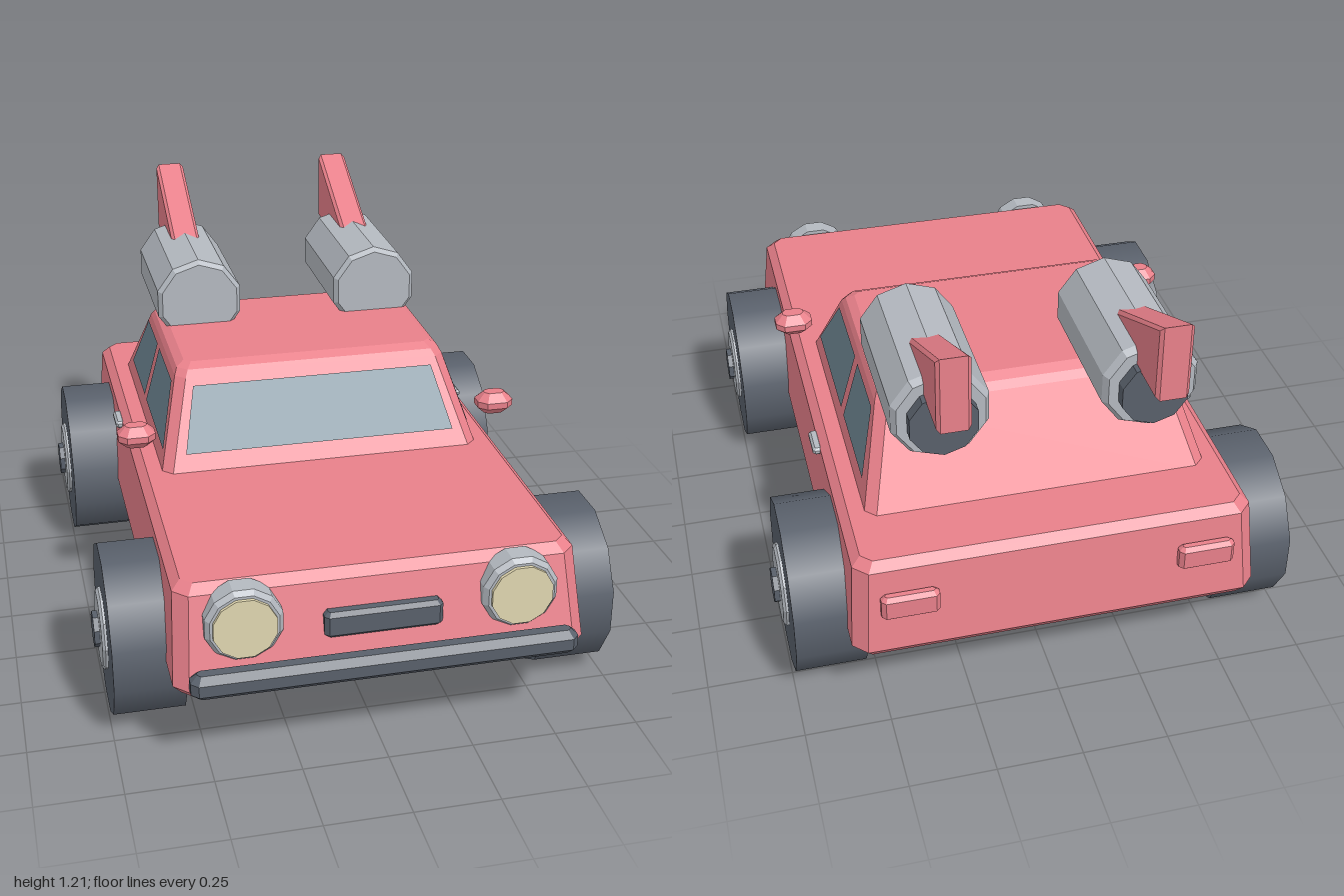
import * as THREE from 'three';

const mat = (color, opts = {}) => new THREE.MeshStandardMaterial({ color, flatShading: true, ...opts });
const RED = mat(0xe8808a), DARK = mat(0x59606b), TIRE = mat(0x59606b, { flatShading: false });
const STEEL = mat(0xb4b9c0), LAMP = mat(0xe0d6b0);
const GLASS = mat(0x6f8794, { side: THREE.DoubleSide });

// Stack of chamfered rectangles; level = [y, half width, back z, front z, corner cut]
function loft(levels) {
  const pos = [], idx = [], top = (levels.length - 1) * 8;
  for (const [y, x, b, f, c] of levels) {
    for (const [px, pz] of [[x - c, f], [x, f - c], [x, b + c], [x - c, b],
      [c - x, b], [-x, b + c], [-x, f - c], [c - x, f]]) pos.push(px, y, pz);
  }
  for (let i = 0; i < top; i += 8) {
    for (let j = 0; j < 8; j++) {
      const a = i + j, b = i + (j + 1) % 8;
      idx.push(a, b, a + 8, b, b + 8, a + 8);
    }
  }
  for (let j = 1; j < 7; j++) idx.push(top, top + j, top + j + 1, 0, j + 1, j);
  const g = new THREE.BufferGeometry();
  g.setAttribute('position', new THREE.Float32BufferAttribute(pos, 3));
  g.setIndex(idx);
  g.computeVertexNormals();
  return g;
}

// Box with all edges chamfered by b
function block(w, h, d, b) {
  const x = w / 2, y = h / 2, z = d / 2;
  return loft([[-y, x - b, b - z, z - b, b / 2], [b - y, x, -z, z, b],
    [y - b, x, -z, z, b], [y, x - b, b - z, z - b, b / 2]]);
}

// Faceted solid of revolution about y from [radius, height] pairs, flat side forward if turned
function turned(profile, sides, turn = 0) {
  return new THREE.LatheGeometry(profile.map(p => new THREE.Vector2(...p)), sides).rotateY(turn);
}

function panel(corners) {
  const g = new THREE.BufferGeometry();
  g.setAttribute('position', new THREE.Float32BufferAttribute(corners.flat(), 3));
  g.setIndex([0, 1, 2, 0, 2, 3]);
  g.computeVertexNormals();
  return g;
}

export function createModel() {
  const car = new THREE.Group();
  car.name = 'rocketCar';
  const add = (name, geo, material, x = 0, y = 0, z = 0, parent = car) => {
    const m = new THREE.Mesh(geo, material);
    m.name = name;
    m.position.set(x, y, z);
    parent.add(m);
    return m;
  };

  // Body and cabin
  add('body', loft([
    [0.24, 0.57, -0.97, 0.93, 0.03], [0.27, 0.595, -0.992, 0.952, 0.04],
    [0.525, 0.578, -0.955, 0.875, 0.04], [0.55, 0.552, -0.93, 0.845, 0.03]]), RED);
  add('cabin', loft([
    [0.54, 0.508, -0.755, 0.19, 0.03], [0.80, 0.435, -0.58, 0.03, 0.03],
    [0.82, 0.425, -0.56, 0.01, 0.03], [0.835, 0.40, -0.53, -0.02, 0.02]]), RED);

  // Windows lie just outside the cabin walls
  add('windshield', panel([[-0.43, 0.6, 0.16], [0.43, 0.6, 0.16], [0.385, 0.78, 0.048], [-0.385, 0.78, 0.048]]), GLASS);
  const sideX = y => 0.495 - (y - 0.6) * 0.281;
  const sideWindows = {
    frontSideWindow: [0.11, -0.285, -0.285, -0.01],
    rearSideWindow: [-0.325, -0.635, -0.545, -0.325],
  };

  // Front and rear trim
  add('bumper', block(1.11, 0.075, 0.07, 0.02), DARK, 0, 0.298, 0.965);
  add('grille', block(0.34, 0.08, 0.06, 0.012), DARK, 0, 0.41, 0.902);

  // Fin outline in (-z, y)
  const finShape = new THREE.Shape([[0.61, 1.03], [0.61, 0.985], [0.955, 0.985], [0.955, 1.195]]
    .map(p => new THREE.Vector2(...p)));
  const finGeo = new THREE.ExtrudeGeometry(finShape, {
    depth: 0.075, bevelEnabled: true, bevelSize: 0.01, bevelThickness: 0.01, bevelSegments: 1 });
  finGeo.translate(0, 0, -0.0375).rotateY(Math.PI / 2);

  for (const s of [1, -1]) {
    const side = s > 0 ? 'left' : 'right';

    for (const [name, [z0, z1, z2, z3]] of Object.entries(sideWindows)) {
      const lo = s * sideX(0.6), hi = s * sideX(0.78);
      const corners = [[lo, 0.6, z0], [lo, 0.6, z1], [hi, 0.78, z2], [hi, 0.78, z3]];
      add(`${side} ${name}`, panel(s > 0 ? corners : corners.reverse()), GLASS);
    }

    add(`${side} mirror`, block(0.115, 0.07, 0.09, 0.025), RED, s * 0.577, 0.665, 0.12);
    add(`${side} doorHandle`, block(0.03, 0.024, 0.1, 0.007), STEEL, s * 0.585, 0.516, -0.33);
    add(`${side} tailLight`, block(0.165, 0.08, 0.04, 0.012), RED, s * 0.43, 0.42, -0.98);

    // Headlight: steel rim with a lens
    const rim = turned([[0, -0.04], [0.113, -0.04], [0.113, 0.02], [0.1, 0.035], [0, 0.035]], 12, Math.PI / 12);
    add(`${side} headlightRim`, rim.rotateX(Math.PI / 2), STEEL, s * 0.395, 0.445, 0.9);
    const lens = turned([[0, 0], [0.092, 0], [0.092, 0.045], [0, 0.045]], 12, Math.PI / 12);
    add(`${side} headlightLens`, lens.rotateX(Math.PI / 2), LAMP, s * 0.395, 0.445, 0.9);

    // Wheels with hub plate and nut
    for (const [end, z] of [['front', 0.535], ['rear', -0.63]]) {
      const wheel = new THREE.Group();
      wheel.name = `${side} ${end} wheel`;
      wheel.position.set(s * 0.64, 0.248, z);
      car.add(wheel);
      const tire = new THREE.CylinderGeometry(0.257, 0.257, 0.21, 12).rotateY(Math.PI / 12);
      add('tire', tire.rotateZ(-s * Math.PI / 2), TIRE, 0, 0, 0, wheel);
      const hub = turned([[0, 0], [0.125, 0], [0.125, 0.112], [0.115, 0.12], [0, 0.12]], 10);
      add('hub', hub.rotateZ(-s * Math.PI / 2), STEEL, 0, 0, 0, wheel);
      const nut = turned([[0, 0], [0.054, 0], [0.054, 0.136], [0, 0.136]], 8, Math.PI / 8);
      add('hubNut', nut.rotateZ(-s * Math.PI / 2), DARK, 0, 0, 0, wheel);
    }

    // Roof rocket: barrel, nozzle, tail fin and pylon
    const rocket = new THREE.Group();
    rocket.name = `${side} rocket`;
    rocket.position.x = s * 0.297;
    car.add(rocket);
    const barrel = turned([[0, -0.805], [0.13, -0.805], [0.144, -0.785], [0.144, -0.35],
      [0.13, -0.335], [0, -0.335]], 10);
    add('barrel', barrel.rotateX(Math.PI / 2), STEEL, 0, 0.909, 0, rocket);
    const nozzle = turned([[0, -0.84], [0.1, -0.84], [0.1, -0.79], [0, -0.79]], 10);
    add('nozzle', nozzle.rotateX(Math.PI / 2), DARK, 0, 0.905, 0, rocket);
    add('fin', finGeo, RED, 0, 0, 0, rocket);
    add('pylon', block(0.06, 0.17, 0.08, 0.01), RED, 0, 0.765, -0.625, rocket);
  }
  return car;
}
